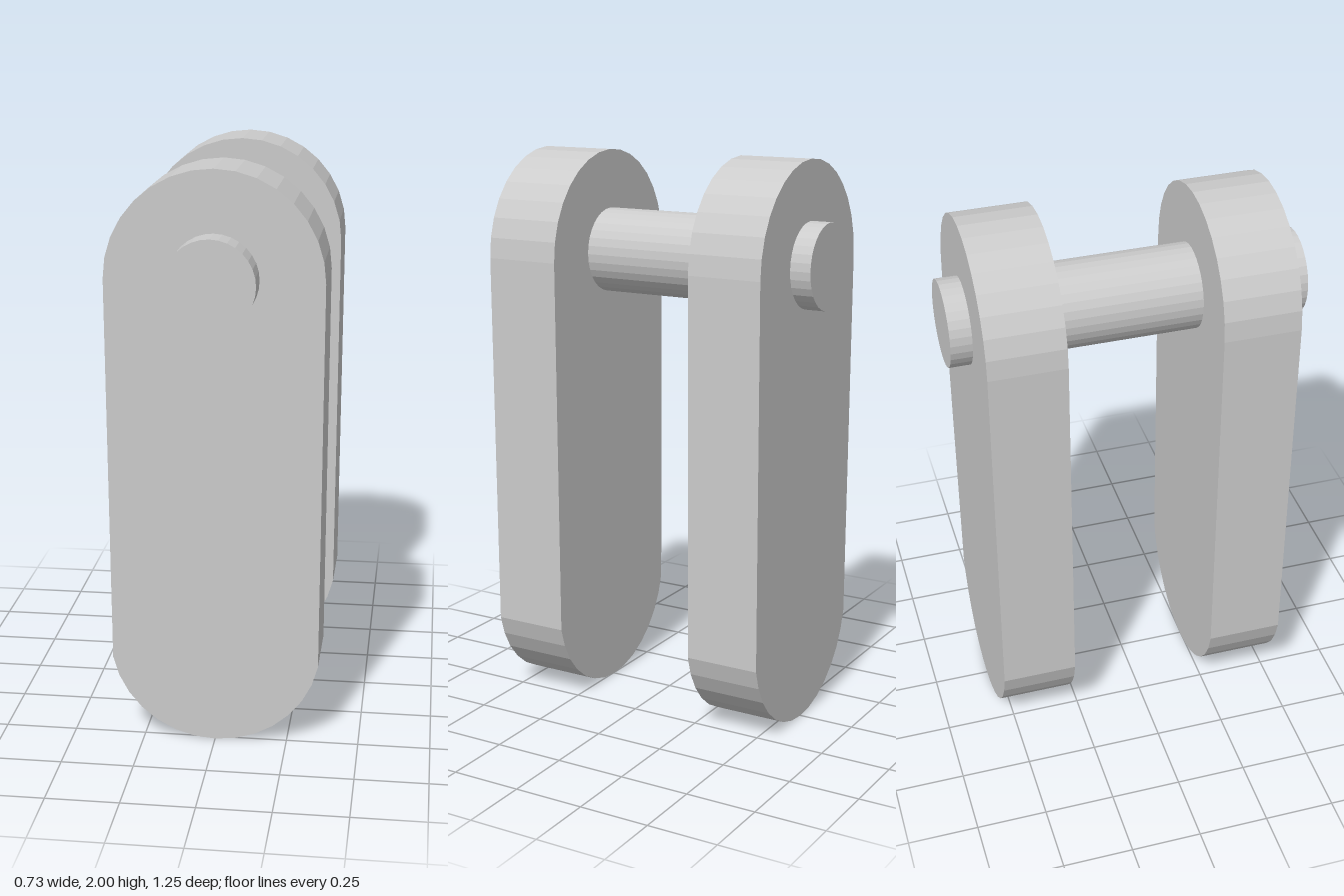
import * as THREE from 'three';

const SIDES = 32;
const RADIUS = 0.365;
const TOP_Y = 2 - RADIUS;
const BOTTOM_Y = RADIUS;

// A polygonal circle pulled apart into a long, round-ended link
function linkShape() {
  const points = [];
  for (let i = 0; i < SIDES; i++) {
    const a = (i / SIDES) * Math.PI * 2;
    const centreY = i <= SIDES / 2 ? TOP_Y : BOTTOM_Y;
    points.push(new THREE.Vector2(RADIUS * Math.cos(a), centreY + RADIUS * Math.sin(a)));
  }
  return new THREE.Shape(points);
}

export function createModel() {
  const model = new THREE.Group();
  model.name = 'linkAndPin';
  const material = new THREE.MeshStandardMaterial({ color: 0xcccccc, flatShading: true });

  // Two side plates, given by their back and front z
  const shape = linkShape();
  for (const [name, back, front] of [['frontPlate', 0.247, 0.517], ['backPlate', -0.548, -0.281]]) {
    const geometry = new THREE.ExtrudeGeometry(shape, { depth: front - back, bevelEnabled: false });
    const plate = new THREE.Mesh(geometry, material);
    plate.name = name;
    plate.position.z = back;
    model.add(plate);
  }

  // Round pin running through both plates
  const pin = new THREE.Mesh(new THREE.CylinderGeometry(0.15, 0.15, 1.245, SIDES), material);
  pin.name = 'pin';
  pin.rotation.x = Math.PI / 2;
  pin.position.y = 1.642;
  model.add(pin);

  return model;
}
